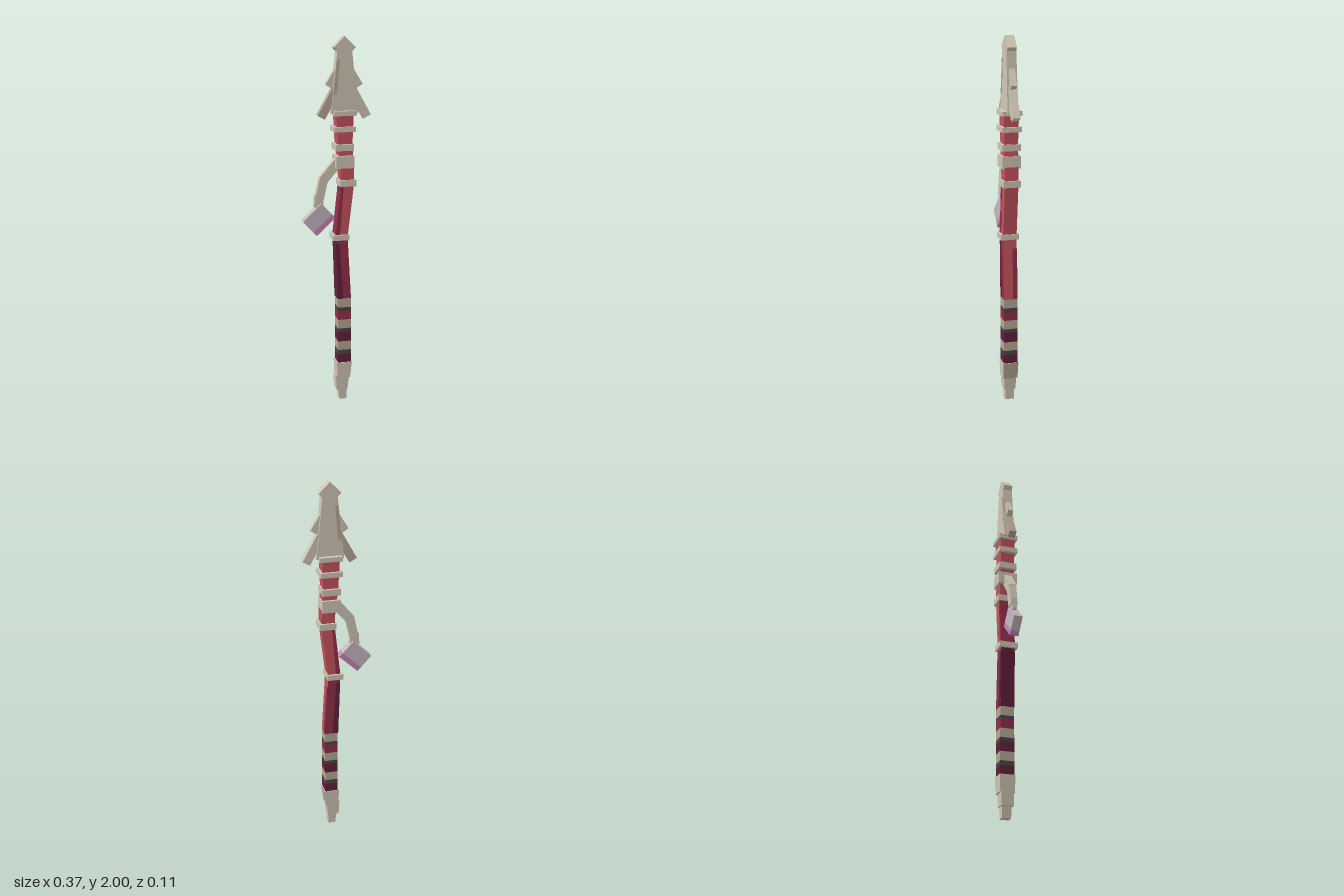
import * as THREE from 'three';

const mat = (name, color) => {
  const m = new THREE.MeshStandardMaterial({ color });
  m.name = name;
  return m;
};

export function createModel() {
  const bone = mat('bone', 0xcfc5b5);
  const tan = mat('tan', 0xb5a693);
  const charcoal = mat('charcoal', 0x4c4645);
  const red = mat('red', 0xc4535c);
  const crimson = mat('crimson', 0x8f2f48);
  const maroon = mat('maroon', 0x60203a);
  const mauve = mat('mauve', 0xc6b6c0);
  const pink = mat('pink', 0xc583b4);

  const model = new THREE.Group();
  model.name = 'spear';

  const add = (name, geometry, material, parent = model) => {
    const mesh = new THREE.Mesh(geometry, material);
    mesh.name = name;
    parent.add(mesh);
    return mesh;
  };

  // Four-sided tapered block between two levels: [y, left x, right x, half depth]
  const block = (name, low, high, material) => {
    const g = new THREE.BoxGeometry(1, 1, 1);
    const p = g.attributes.position;
    for (let i = 0; i < p.count; i++) {
      const [y, x0, x1, hz] = p.getY(i) < 0 ? low : high;
      p.setXYZ(i, p.getX(i) < 0 ? x0 : x1, y, Math.sign(p.getZ(i)) * hz);
    }
    g.computeVertexNormals();
    return add(name, g, material);
  };

  // Square bar running from one point to another in the front plane
  const bar = (name, a, b, width, depth, material) => {
    const dx = b[0] - a[0], dy = b[1] - a[1];
    const m = add(name, new THREE.BoxGeometry(width, Math.hypot(dx, dy), depth), material);
    m.position.set((a[0] + b[0]) / 2, (a[1] + b[1]) / 2, 0);
    m.rotation.z = -Math.atan2(dx, dy);
    return m;
  };

  // Bent shaft; side order is +x, -x, top, bottom, front, back
  const shaft = [
    [0.59, 0.0, 0.075, 0.037],
    [0.935, -0.012, 0.055, 0.037],
    [1.23, 0.02, 0.09, 0.037],
    [1.32, 0.015, 0.088, 0.037],
    [1.44, 0.0, 0.08, 0.037],
    [1.6, -0.008, 0.085, 0.04],
  ];
  const lowerSides = [red, maroon, crimson, crimson, crimson, crimson];
  for (let i = 0; i < shaft.length - 1; i++) {
    block('shaftSection', shaft[i], shaft[i + 1], i === 0 ? lowerSides : red);
  }

  // Dark painted strips on the shaft
  block('lowerShadeStrip', [0.59, 0.001, 0.032, 0.0385], [0.9, -0.01, 0.01, 0.0385], maroon);
  block('upperShadeStrip', [0.935, -0.0125, 0.012, 0.0385], [1.23, 0.0195, 0.034, 0.0385], crimson);
  const sideStrip = bar('sideShadeStrip', [0.0755, 0.59], [0.0585, 0.87], 0.004, 0.025, crimson);
  sideStrip.position.z = -0.0255;

  // Wrapped grip, bottom to top
  const grip = [
    [0.21, 0.27, maroon], [0.27, 0.295, charcoal], [0.295, 0.345, tan],
    [0.345, 0.4, maroon], [0.4, 0.42, charcoal], [0.42, 0.47, tan],
    [0.47, 0.52, crimson], [0.52, 0.54, charcoal], [0.54, 0.59, tan],
  ];
  for (const [y0, y1, m] of grip) {
    block('gripBand', [y0, 0.003, 0.075, 0.038], [y1, 0.003, 0.075, 0.038], m);
  }

  // Stepped butt
  block('buttCollar', [0.13, 0.0, 0.07, 0.04], [0.222, -0.004, 0.08, 0.042], [tan, bone, bone, tan, bone, bone]);
  block('buttStep', [0.06, -0.004, 0.058, 0.032], [0.145, -0.008, 0.066, 0.034], bone);
  block('buttEnd', [0, 0.014, 0.054, 0.024], [0.07, 0.008, 0.056, 0.026], bone);

  // Rings: low y, high y, left x, right x, half depth
  const rings = [
    [0.92, 0.95, -0.026, 0.062, 0.05],
    [1.213, 1.248, 0.012, 0.1, 0.047],
    [1.312, 1.378, -0.01, 0.088, 0.051],
    [1.405, 1.44, -0.012, 0.086, 0.05],
    [1.505, 1.532, -0.022, 0.096, 0.052],
    [1.59, 1.615, -0.02, 0.1, 0.053],
  ];
  for (const [y0, y1, x0, x1, hz] of rings) {
    block('ring', [y0, x0, x1, hz], [y1, x0, x1, hz], bone);
  }

  // Blade with a diamond tip and a worn strip on the front
  block('blade', [1.6, -0.033, 0.112, 0.029], [1.94, 0.002, 0.078, 0.026], bone);
  block('bladeStrip', [1.7, -0.02, -0.002, 0.0295], [1.88, -0.002, 0.014, 0.028], tan);
  const tip = add('bladeTip', new THREE.BoxGeometry(0.083, 0.083, 0.05), bone);
  tip.position.set(0.04, 1.941, 0);
  tip.rotation.z = Math.PI / 4;

  // Barbs mirrored about the blade's centre line
  for (const s of [-1, 1]) {
    const x = (d) => 0.04 + s * d;
    bar('upperBarb', [x(0.02), 1.84], [x(0.082), 1.74], 0.042, 0.03, bone);
    bar('lowerBarb', [x(0.035), 1.74], [x(0.124), 1.58], 0.044, 0.04, s < 0 ? tan : bone);
  }

  // Curved hanger arm
  bar('hangerArm', [0.01, 1.345], [-0.075, 1.245], 0.05, 0.04, bone);
  bar('hangerArm', [-0.068, 1.262], [-0.098, 1.13], 0.046, 0.038, bone);
  bar('hangerEnd', [-0.094, 1.165], [-0.098, 1.1], 0.05, 0.026, bone);

  // Hanging charm with a pink lower edge
  const charm = new THREE.Group();
  charm.name = 'charm';
  charm.position.set(-0.098, 1.035, 0);
  charm.rotation.z = 0.75;
  model.add(charm);
  add('charmBody', new THREE.BoxGeometry(0.138, 0.083, 0.048), mauve, charm).position.y = 0.014;
  add('charmEdge', new THREE.BoxGeometry(0.138, 0.028, 0.048), pink, charm).position.y = -0.0415;

  return model;
}
